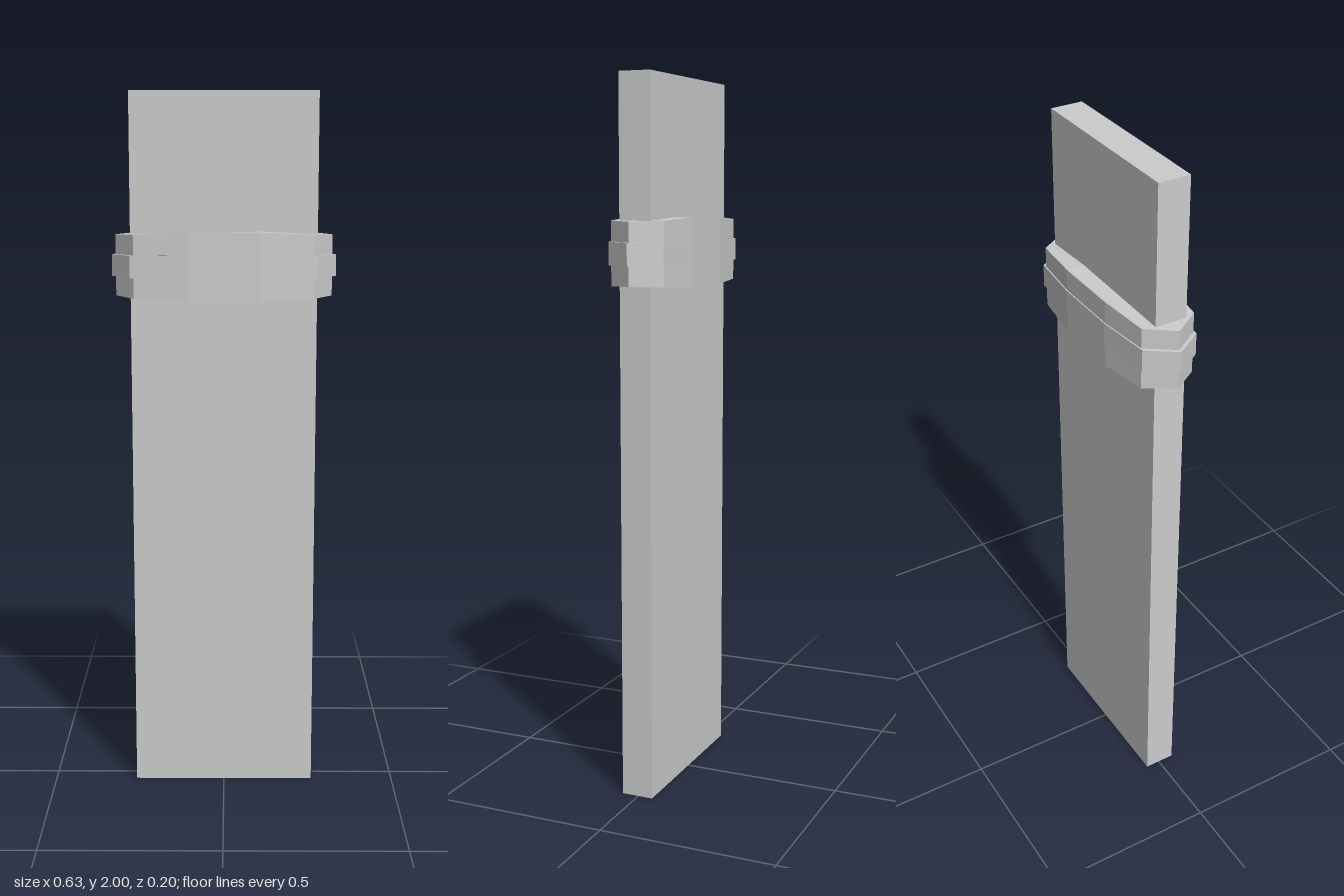
import * as THREE from 'three';

const material = new THREE.MeshStandardMaterial({ color: 0xcccccc, flatShading: true });

// Ten-sided outline of the band: pointed ends, nearly flat long faces
function bandOutline(tip, corner, cornerZ, midZ) {
  const half = [[tip, 0], [corner, cornerZ], [0.1, midZ], [-0.1, midZ], [-corner, cornerZ]];
  const points = [...half, ...half.map(([x, z]) => [-x, -z])];
  return new THREE.Shape(points.map(([x, z]) => new THREE.Vector2(x, z)));
}

// One layer of the band, its height swelling slightly towards the middle
function bandLayer(name, outline, bottom, top) {
  const centre = 1.525;
  const geometry = new THREE.ExtrudeGeometry(outline, { depth: top - bottom, bevelEnabled: false });
  geometry.rotateX(-Math.PI / 2).translate(0, bottom, 0);
  const p = geometry.attributes.position;
  for (let i = 0; i < p.count; i++) {
    const swell = 1 - 0.5 * Math.max(0, Math.abs(p.getX(i)) - 0.1);
    p.setY(i, centre + (p.getY(i) - centre) * swell);
  }
  geometry.computeVertexNormals();
  const mesh = new THREE.Mesh(geometry, material);
  mesh.name = name;
  return mesh;
}

export function createModel() {
  const model = new THREE.Group();
  model.name = 'bandedSlab';

  // Tall flat slab
  const slab = new THREE.Mesh(new THREE.BoxGeometry(0.52, 2, 0.091), material);
  slab.position.set(0, 1, 0.0025);
  slab.name = 'slab';
  model.add(slab);

  // Band of three stacked layers, the middle one standing proud
  const band = new THREE.Group();
  band.name = 'band';
  const inner = bandOutline(0.304, 0.25, 0.078, 0.095);
  const outer = bandOutline(0.315, 0.26, 0.081, 0.098);
  band.add(
    bandLayer('lowerBand', inner, 1.43, 1.491),
    bandLayer('middleBand', outer, 1.491, 1.559),
    bandLayer('upperBand', inner, 1.559, 1.62)
  );
  model.add(band);
  return model;
}
